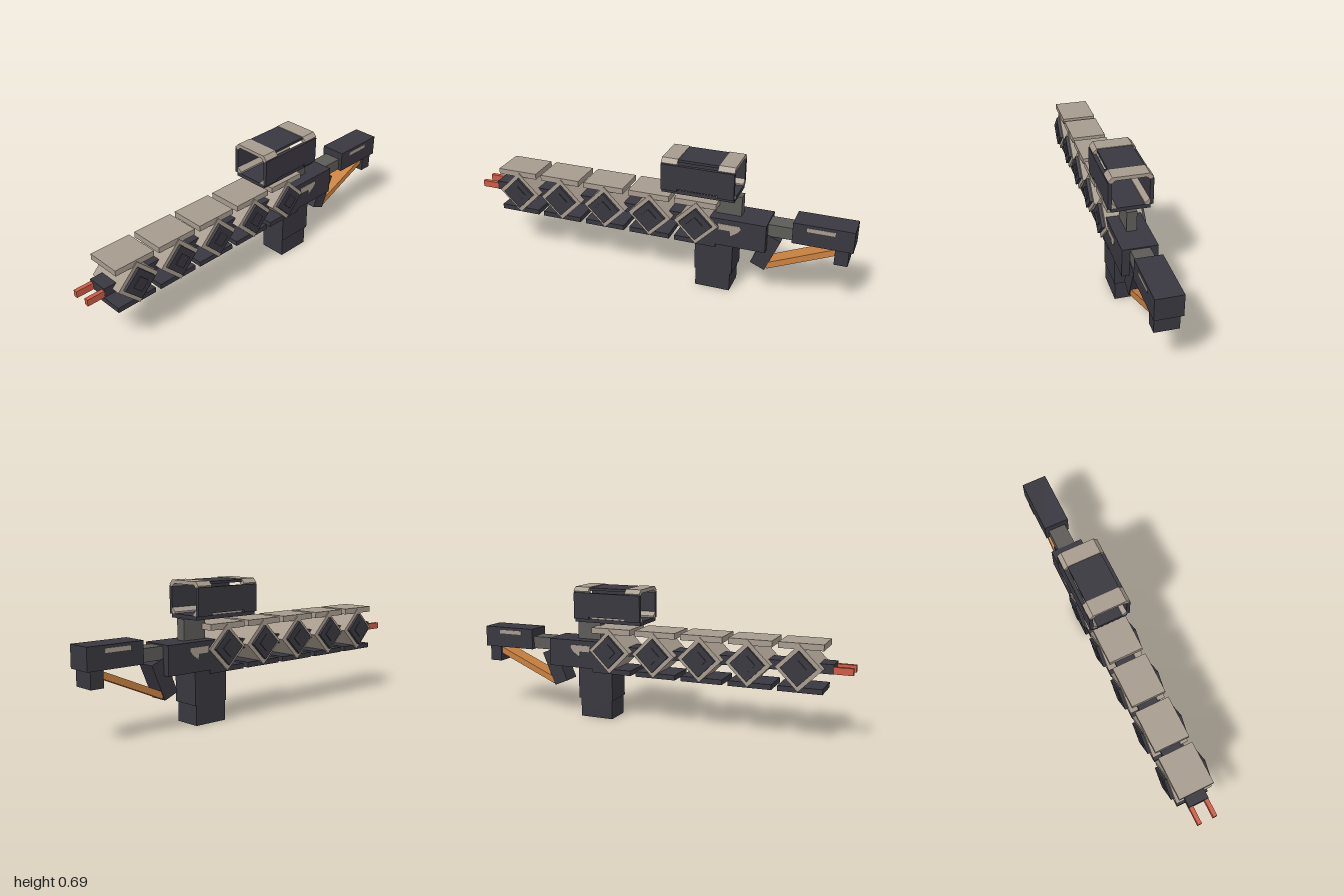
import * as THREE from 'three';

const paint = (name, color) => {
  const m = new THREE.MeshStandardMaterial({ color });
  m.name = name;
  return m;
};

export function createModel() {
  const dark = paint('charcoal', 0x39373f);
  const beige = paint('beige', 0xa79b8e);
  const grey = paint('grey', 0x5c5b58);
  const orange = paint('orange', 0xc8813f);
  const red = paint('red', 0xce5c45);
  const model = new THREE.Group();
  model.name = 'rifle';

  // Box given by its limits on each axis
  const box = (name, mat, x0, x1, y0, y1, z0, z1, parent = model) => {
    const mesh = new THREE.Mesh(new THREE.BoxGeometry(x1 - x0, y1 - y0, z1 - z0), mat);
    mesh.name = name;
    mesh.position.set((x0 + x1) / 2, (y0 + y1) / 2, (z0 + z1) / 2);
    parent.add(mesh);
    return mesh;
  };
  // Box centred on x, running between two points in the y-z plane
  const beam = (name, mat, width, thick, [y0, z0], [y1, z1]) => {
    const mesh = new THREE.Mesh(new THREE.BoxGeometry(width, thick, Math.hypot(y1 - y0, z1 - z0)), mat);
    mesh.name = name;
    mesh.position.set(0, (y0 + y1) / 2, (z0 + z1) / 2);
    mesh.rotation.x = -Math.atan2(y1 - y0, z1 - z0);
    model.add(mesh);
  };
  // Cross-section in x-y, extruded from z0 to z1
  const prism = (name, mat, pts, z0, z1, parent) => {
    const shape = new THREE.Shape(pts.map(p => new THREE.Vector2(...p)));
    const mesh = new THREE.Mesh(new THREE.ExtrudeGeometry(shape, { depth: z1 - z0, bevelEnabled: false }), mat);
    mesh.name = name;
    mesh.position.z = z0;
    parent.add(mesh);
  };

  // Barrel and twin rails
  box('barrel', dark, -0.052, 0.052, 0.341, 0.388, -0.3, 0.91);
  for (const s of [-1, 1])
    box('rail', red, s * 0.041 - 0.0105, s * 0.041 + 0.0105, 0.342, 0.376, 0.6, 1);

  // Five coil blocks: tilted cubes with stepped side caps and cover plates
  for (const z of [0.76, 0.514, 0.267, 0.02, -0.225]) {
    const coil = new THREE.Group();
    coil.name = 'coil';
    model.add(coil);
    for (const [name, mat, half, side] of [
      ['coilBlock', beige, 0.095, 0.161],
      ['coilCap', dark, 0.11, 0.121],
      ['coilCapCentre', dark, 0.115, 0.06]]) {
      const h = side / 2;
      const m = box(name, mat, -half, half, -h, h, -h, h, coil);
      m.position.set(0, 0.365, z - 0.007);
      m.rotation.x = Math.PI / 4;
    }
    box('topPlate', beige, -0.09, 0.09, 0.455, 0.485, z - 0.108, z + 0.108, coil);
    box('bottomPlate', dark, -0.084, 0.084, 0.246, 0.272, z - 0.108, z + 0.108, coil);
  }

  // Receiver and magazine
  box('receiver', dark, -0.086, 0.086, 0.265, 0.41, -0.585, -0.25);
  box('magazineWell', dark, -0.075, 0.075, 0.1, 0.266, -0.42, -0.225);
  box('magazine', dark, -0.07, 0.07, 0, 0.102, -0.41, -0.23);

  // Grip, strut and stock
  beam('grip', dark, 0.1, 0.08, [0.335, -0.615], [0.163, -0.543]);
  beam('strut', orange, 0.09, 0.032, [0.17, -0.585], [0.315, -0.92]);
  box('stockTube', grey, -0.047, 0.047, 0.34, 0.404, -0.72, -0.58);
  box('stock', dark, -0.066, 0.066, 0.336, 0.445, -1, -0.707);
  box('buttPad', dark, -0.058, 0.058, 0.255, 0.337, -0.98, -0.914);

  // Beige side markings on receiver and stock
  for (const s of [-1, 1]) {
    const mark = new THREE.Shape([[0.345, 0.384], [0.455, 0.384], [0.46, 0.37], [0.445, 0.35],
      [0.41, 0.325], [0.405, 0.352], [0.35, 0.352]].map(p => new THREE.Vector2(...p)));
    const plate = new THREE.Mesh(new THREE.ExtrudeGeometry(mark, { depth: 0.003, bevelEnabled: false }), beige);
    plate.name = 'receiverMark';
    plate.rotation.y = Math.PI / 2;
    plate.position.x = s > 0 ? 0.085 : -0.088;
    model.add(plate);
    box('stockMark', beige, s * 0.066 - 0.002, s * 0.066 + 0.002, 0.41, 0.43, -0.91, -0.775);
  }

  // Sight: open frame on a post
  const sight = new THREE.Group();
  sight.name = 'sight';
  model.add(sight);
  box('sightPost', grey, -0.025, 0.025, 0.4, 0.514, -0.445, -0.315, sight);
  box('sightFloor', dark, -0.094, 0.094, 0.511, 0.531, -0.423, -0.053, sight);
  box('sightRoof', dark, -0.088, 0.088, 0.677, 0.69, -0.342, -0.133, sight);
  const ends = [[-0.423, -0.34], [-0.135, -0.053]];
  for (const [z0, z1] of ends)
    box('roofRim', beige, -0.088, 0.088, 0.675, 0.693, z0, z1, sight);
  for (const s of [-1, 1]) {
    const x = [s * 0.09, s * 0.109].sort((a, b) => a - b);
    box('sightWall', dark, ...x, 0.541, 0.665, -0.423, -0.053, sight);
    for (const [z0, z1] of ends) {
      box('wallFoot', dark, ...x, 0.529, 0.542, z0, z1, sight);
      prism('upperCorner', beige, [[s * 0.088, 0.693], [s * 0.108, 0.672], [s * 0.102, 0.665],
        [s * 0.09, 0.66], [s * 0.073, 0.676]], z0, z1, sight);
    }
    prism('lowerCorner', beige, [[s * 0.091, 0.56], [s * 0.091, 0.531], [s * 0.068, 0.531],
      [s * 0.068, 0.539]], -0.423, -0.053, sight);
  }
  return model;
}
